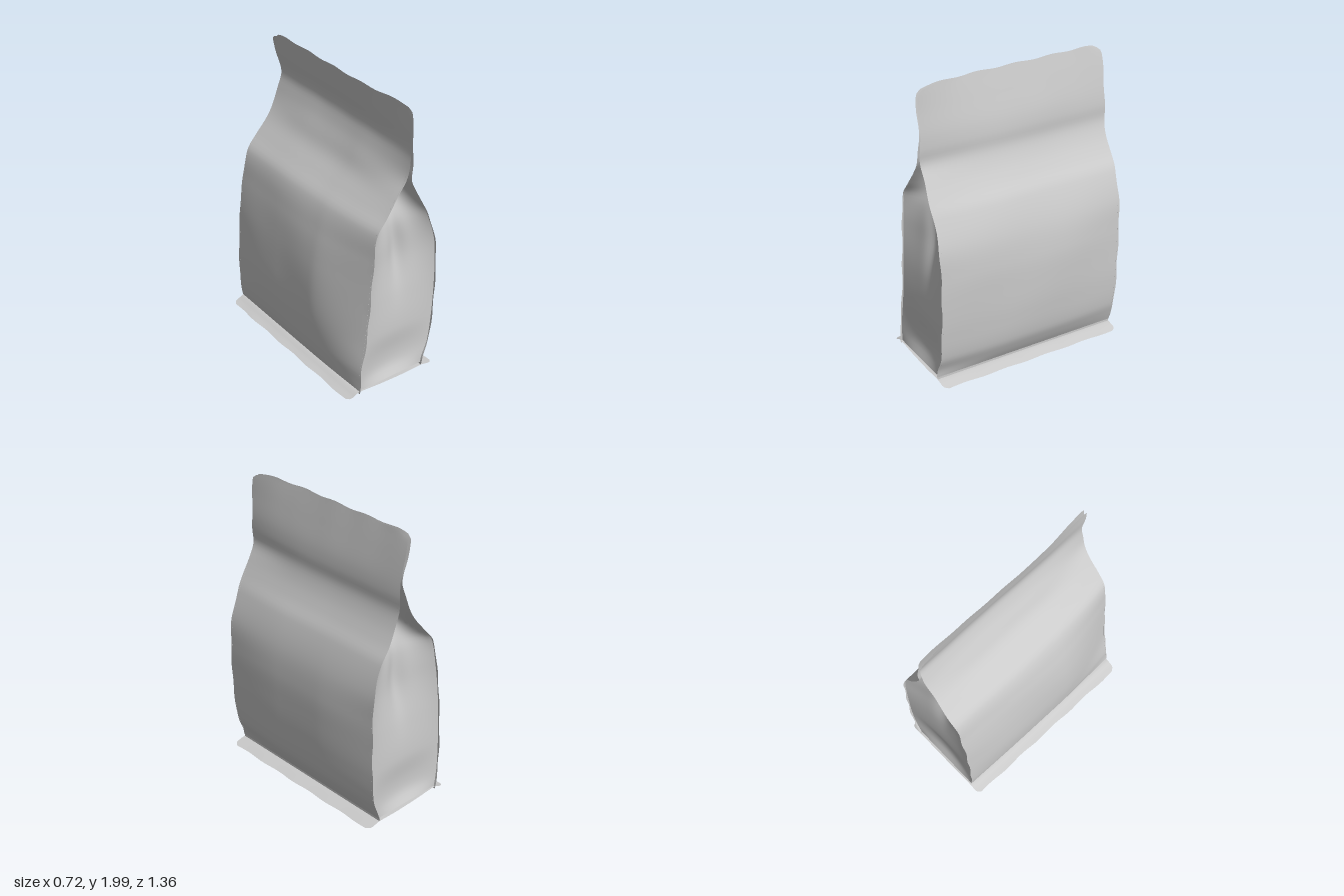
import * as THREE from 'three';

// Heights at which the side profiles are given, from bottom seam to open top
const Y = [.045, .1, .2, .4, .6, .8, 1, 1.2, 1.3, 1.4, 1.5, 1.6, 1.7, 1.85, 2];
// x of each broad panel at its front edge, middle and back edge
const RIGHT = {
  front: [-.26, -.255, -.25, -.215, -.195, -.18, -.165, -.14, -.07, 0, .065, .09, .1, .085, .075],
  mid: [-.27, -.285, -.3, -.312, -.305, -.285, -.25, -.19, -.105, -.02, .03, .075, .1, .07, .04],
  back: [-.27, -.28, -.29, -.29, -.28, -.265, -.235, -.19, -.11, -.03, .03, .07, .095, .06, .025],
};
const LEFT = {
  front: [.25, .26, .3, .325, .335, .335, .32, .255, .205, .155, .11, .115, .115, .105, .1],
  mid: [.25, .28, .32, .345, .355, .355, .33, .265, .205, .155, .125, .125, .115, .085, .052],
  back: [.25, .27, .3, .32, .325, .325, .315, .26, .2, .15, .12, .12, .11, .085, .055],
};
const HALF = .675;

// Smooth curve through the points (xs, vs)
function curveAt(xs, vs, x) {
  let i = 0;
  while (i < xs.length - 2 && x > xs[i + 1]) i++;
  const slope = (k) => {
    const a = Math.max(k - 1, 0), b = Math.min(k + 1, xs.length - 1);
    return (vs[b] - vs[a]) / (xs[b] - xs[a]);
  };
  const h = xs[i + 1] - xs[i], t = (x - xs[i]) / h, t2 = t * t, t3 = t2 * t;
  return (2 * t3 - 3 * t2 + 1) * vs[i] + (t3 - 2 * t2 + t) * h * slope(i)
    + (3 * t2 - 2 * t3) * vs[i + 1] + (t3 - t2) * h * slope(i + 1);
}

// Surface x of a panel at height y and depth z
function panelX(side, y, z) {
  const k = THREE.MathUtils.clamp((Math.abs(z) - .2) / (HALF - .2), 0, 1) ** 1.5;
  const mid = curveAt(Y, side.mid, y);
  const edge = curveAt(Y, z > 0 ? side.front : side.back, y);
  return mid + (edge - mid) * k;
}

// Grid surface from a function f(u, v) -> [x, y, z]
function sheet(name, nu, nv, f, flip = false) {
  const pos = [], idx = [];
  for (let j = 0; j <= nv; j++)
    for (let i = 0; i <= nu; i++) pos.push(...f(i / nu, j / nv));
  for (let j = 0; j < nv; j++)
    for (let i = 0; i < nu; i++) {
      const a = j * (nu + 1) + i, b = a + 1, c = a + nu + 1, d = c + 1;
      if (flip) idx.push(a, c, b, b, c, d);
      else idx.push(a, b, c, b, d, c);
    }
  const geo = new THREE.BufferGeometry();
  geo.setAttribute('position', new THREE.Float32BufferAttribute(pos, 3));
  geo.setIndex(idx);
  geo.computeVertexNormals();
  const mesh = new THREE.Mesh(geo, new THREE.MeshStandardMaterial({
    color: 0xcccccc, roughness: .6, side: THREE.DoubleSide,
  }));
  mesh.name = name;
  return mesh;
}

// Broad panel, running up into the flat sealed top, with slightly wavy edges
function panel(name, side, flip) {
  return sheet(name, 48, 80, (u, v) => {
    const s = u * 2 - 1;
    const y0 = .045 + v * 1.95;
    const round = Math.max(0, (y0 - 1.94) / .055) ** 3 * .03;
    const half = HALF + .004 * Math.sin(y0 * 21) * s * s - round;
    const z = s * half;
    const wave = .004 * Math.sin(u * 30) * v ** 8;
    const ripple = .004 * Math.sin(z * 7 + y0 * 5) * Math.sin(Math.PI * v) * (1 - s * s);
    return [panelX(side, y0, z) + ripple, y0 + wave - .012 * v ** 20 * s ** 12, z];
  }, flip);
}

// Folded end panel: dented down the middle and tucked in under the neck
const GY = [.045, .12, .22, .4, .65, .9, 1.15, 1.3, 1.42, 1.54];
const GD = [0, .03, .035, .02, .035, .065, .09, .15, .215, .28];
function gusset(name, dir) {
  return sheet(name, 28, 60, (u, v) => {
    const y = .045 + v * 1.495;
    const a = panelX(RIGHT, y, dir * (HALF - .015)), b = panelX(LEFT, y, dir * (HALF - .015));
    const c = Math.abs(u * 2 - 1);
    const fold = curveAt(GY, GD, y) * (1 - c ** 2);
    const crease = .03 * Math.exp(-(((y - .98) / .24) ** 2) - ((c / .22) ** 2));
    return [a + (b - a) * u, y, dir * (HALF - .012 - fold - crease)];
  }, dir < 0);
}

// Base with the sealed fins that stick out along both long sides
function base() {
  const xs = [-.355, -.31, -.27, -.1, .1, .25, .29, .345];
  const ys = [.015, .03, .047, .036, .028, .03, .022, .008];
  return sheet('base', 40, 40, (u, v) => {
    const x = -.355 + u * .7, s = v * 2 - 1;
    const out = Math.max(0, Math.abs(x + .005) - .31) / .04;
    const half = HALF - .03 * out ** 3;
    return [x + .004 * Math.sin(v * 26) * (u * 2 - 1) ** 8, curveAt(xs, ys, x), s * half];
  });
}

// Short upright strip joining a panel foot to the base
function footSeam(name, side, flip) {
  return sheet(name, 48, 2, (u, v) => {
    const z = (u * 2 - 1) * HALF;
    return [panelX(side, .045, z), .028 + v * .02, z];
  }, flip);
}

export function createModel() {
  const group = new THREE.Group();
  group.name = 'pouch';
  group.add(
    panel('leftPanel', LEFT, true),
    panel('rightPanel', RIGHT, false),
    gusset('frontGusset', 1),
    gusset('backGusset', -1),
    base(),
    footSeam('leftFootSeam', LEFT, true),
    footSeam('rightFootSeam', RIGHT, false),
  );
  return group;
}
